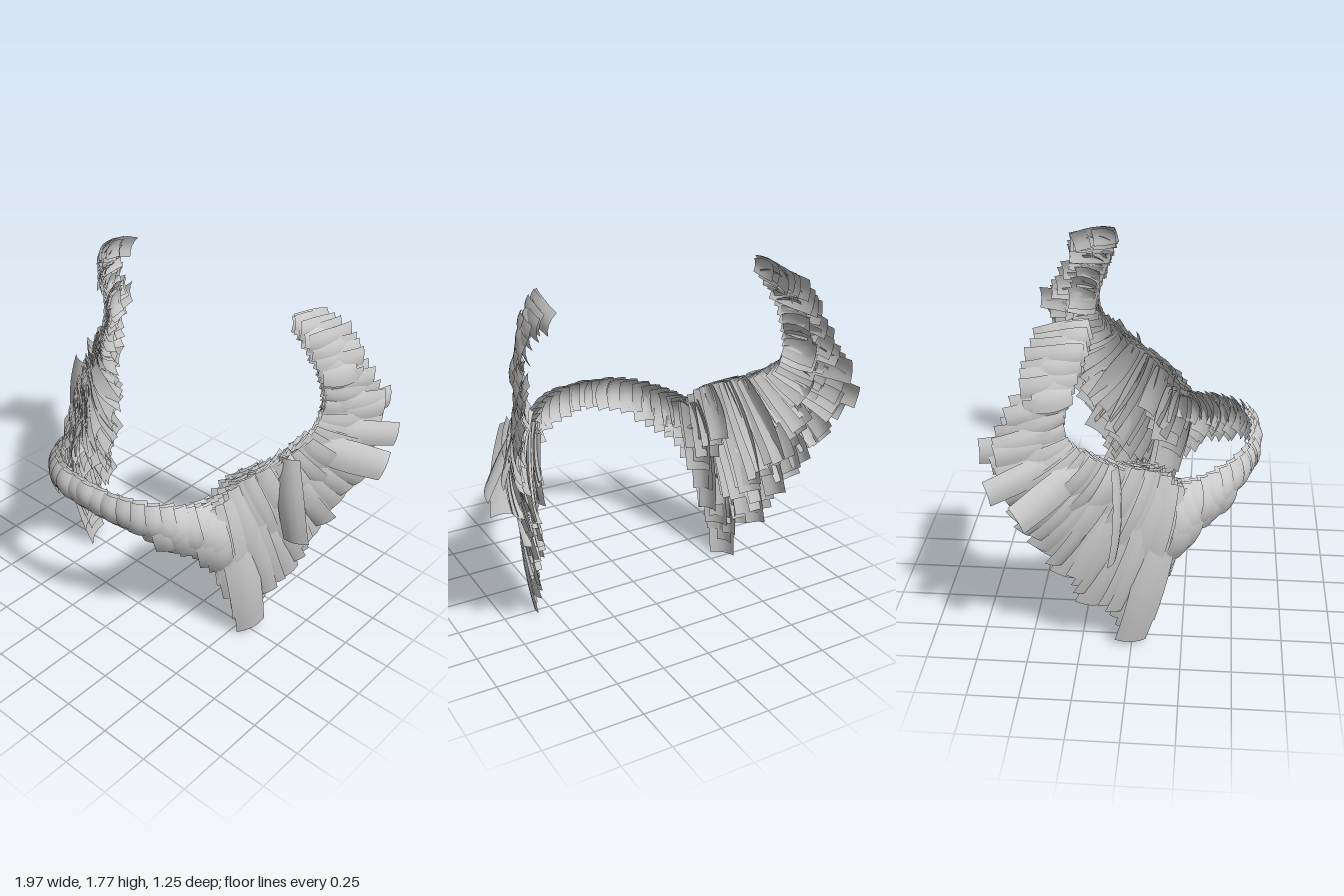
import * as THREE from 'three';
import { mergeGeometries } from 'three/addons/utils/BufferGeometryUtils.js';

// Stations along one half of the collar, from the front centre to the tip of the horn:
// root x y z, tip x y z, feather width, outward angle from +z
const STATIONS = [
  [[0, 0.97, 0.575], [0, 0.81, 0.593], 0.12, 0],
  [[0.2, 0.96, 0.54], [0.21, 0.77, 0.55], 0.12, 0.35],
  [[0.35, 0.93, 0.43], [0.39, 0.68, 0.425], 0.13, 0.75],
  [[0.43, 0.9, 0.31], [0.485, 0.58, 0.28], 0.13, 1.0],
  [[0.48, 0.89, 0.22], [0.54, 0.38, 0.14], 0.13, 1.2],
  [[0.51, 0.92, 0.18], [0.583, 0.02, 0.0], 0.16, 1.38],
  [[0.53, 0.99, 0.14], [0.62, 0.2, -0.08], 0.12, 1.25],
  [[0.56, 1.03, 0.08], [0.66, 0.31, -0.2], 0.13, 1.15],
  [[0.6, 1.06, 0.02], [0.7, 0.44, -0.26], 0.14, 1.08],
  [[0.65, 1.09, -0.06], [0.76, 0.62, -0.39], 0.14, 1.08],
  [[0.69, 1.15, -0.15], [0.84, 0.83, -0.46], 0.14, 1.08],
  [[0.7, 1.2, -0.24], [0.88, 1.06, -0.55], 0.13, 1.08],
  [[0.71, 1.28, -0.28], [0.87, 1.24, -0.57], 0.12, 1.1],
  [[0.715, 1.4, -0.27], [0.84, 1.37, -0.53], 0.12, 1.12],
  [[0.7, 1.52, -0.23], [0.8, 1.51, -0.46], 0.12, 1.15],
  [[0.66, 1.64, -0.19], [0.74, 1.62, -0.42], 0.12, 1.2],
  [[0.6, 1.73, -0.165], [0.63, 1.68, -0.4], 0.11, 1.3],
];
const LAST = STATIONS.length - 1;
const curveOf = (f) =>
  new THREE.CatmullRomCurve3(STATIONS.map((s) => new THREE.Vector3(...f(s))), false, 'catmullrom', 0.5);
const roots = curveOf((s) => s[0]);
const tips = curveOf((s) => s[1]);
const traits = curveOf((s) => [s[2], s[3], 0]);

// Small seeded generator, giving -1..1
function makeJitter(seed) {
  let s = seed;
  return () => {
    s = (s * 16807) % 2147483647;
    return (s / 2147483647) * 2 - 1;
  };
}

// A thin blunt strip that bows outward along its length and curls across its width
function feather(root, tip, normal, width, twist, bow, side) {
  const dir = tip.clone().sub(root);
  const length = dir.length();
  dir.normalize();
  const out = normal.clone().addScaledVector(dir, -normal.dot(dir)).normalize();
  const across = out.clone().cross(dir).applyAxisAngle(dir, twist);
  out.applyAxisAngle(dir, twist);
  const geo = new THREE.PlaneGeometry(1, 1, 4, 8);
  const pos = geo.attributes.position;
  const p = new THREE.Vector3();
  for (let i = 0; i < pos.count; i++) {
    const u = pos.getX(i);
    const v = 0.5 - pos.getY(i);
    const w = width * (0.75 + 0.35 * Math.sin(Math.PI * Math.min(v * 0.75, 0.6)) - 0.12 * v);
    p.lerpVectors(root, tip, v)
      .addScaledVector(across, u * w)
      .addScaledVector(out, bow * length * 4 * v * (1 - v) - 0.5 * u * u * w);
    pos.setXYZ(i, p.x * side, p.y, p.z);
  }
  geo.computeVertexNormals();
  return geo;
}

// Rows of overlapping feathers between two stations; loose sets how untidy they lie
function featherRows(from, to, perStation, loose, layers, side, seed) {
  const jitter = makeJitter(seed);
  const parts = [];
  const count = Math.round((to - from) * perStation);
  for (const { reach, offset } of layers) {
    for (let i = 0; i <= count; i++) {
      const station = from + ((to - from) * i) / count;
      const t = station / LAST;
      const { x: width, y: angle } = traits.getPoint(t);
      const lean = Math.max(0, t - 0.75) * 2;
      const normal = new THREE.Vector3(Math.sin(angle), lean, Math.cos(angle));
      const root = roots.getPoint(t).addScaledVector(normal, offset + 0.012 * loose * jitter());
      const tip = tips.getPoint(t).addScaledVector(normal, offset + 0.025 * loose * jitter());
      tip.y += station === 5 ? 0 : 0.025 * loose * jitter();
      const full = reach * (station === 5 ? 1 : 0.97 + 0.06 * loose * jitter());
      tip.lerpVectors(root, tip, full);
      const bow = station < 4 ? 0.2 : station < 9 ? 0.06 : 0.09;
      const twist = station === 0 ? 0 : 0.12 + 0.35 * loose * jitter();
      parts.push(feather(root, tip, normal, width * (1 + 0.12 * jitter()), twist, bow, side));
    }
  }
  return parts;
}

export function createModel() {
  const group = new THREE.Group();
  const material = new THREE.MeshStandardMaterial({ color: 0xcccccc, side: THREE.DoubleSide });
  const addPart = (name, parts) => {
    const mesh = new THREE.Mesh(mergeGeometries(parts), material);
    mesh.name = name;
    group.add(mesh);
  };

  for (const [label, side] of [['left', 1], ['right', -1]]) {
    // Front band of short rounded feathers
    addPart(label + 'CollarFeathers', featherRows(0, 4, 3, 0.4, [
      { reach: 1, offset: -0.008 },
      { reach: 0.85, offset: 0.012 },
    ], side, 11));

    // Long hanging feathers at the shoulder
    addPart(label + 'ShoulderFeathers', featherRows(4, 10, 3, 0.9, [
      { reach: 1, offset: 0 },
      { reach: 0.8, offset: -0.025 },
      { reach: 0.55, offset: 0.025 },
    ], side, 23));

    // Short tufts lining the inside of the shoulder
    addPart(label + 'InnerTufts', featherRows(3.5, 6.5, 2, 0.8, [
      { reach: 0.4, offset: -0.04 },
    ], side, 53));

    // Upswept horn of backward-pointing feathers
    addPart(label + 'HornFeathers', featherRows(10, LAST, 3, 0.8, [
      { reach: 1, offset: 0 },
      { reach: 0.7, offset: 0.015 },
      { reach: 0.55, offset: -0.01 },
    ], side, 37));

    // Loose feathers that stand away from the rows
    const v = (x, y, z) => new THREE.Vector3(x, y, z);
    addPart(label + 'LooseFeathers', [
      feather(v(0.7, 1.11, -0.05), v(0.765, 0.64, -0.06), v(0.2, 0, 1), 0.14, 0, 0.05, side),
      feather(v(0.72, 1.13, -0.18), v(0.985, 0.99, -0.45), v(0.88, 0.1, 0.48), 0.16, 0, 0.02, side),
      feather(v(0.73, 1.18, -0.25), v(0.955, 1.1, -0.58), v(0.88, 0.1, 0.48), 0.13, 0, 0.02, side),
      feather(v(0.72, 1.26, -0.28), v(0.87, 1.26, -0.62), v(0.88, 0, 0.48), 0.13, 0, 0.06, side),
    ]);
  }
  return group;
}
